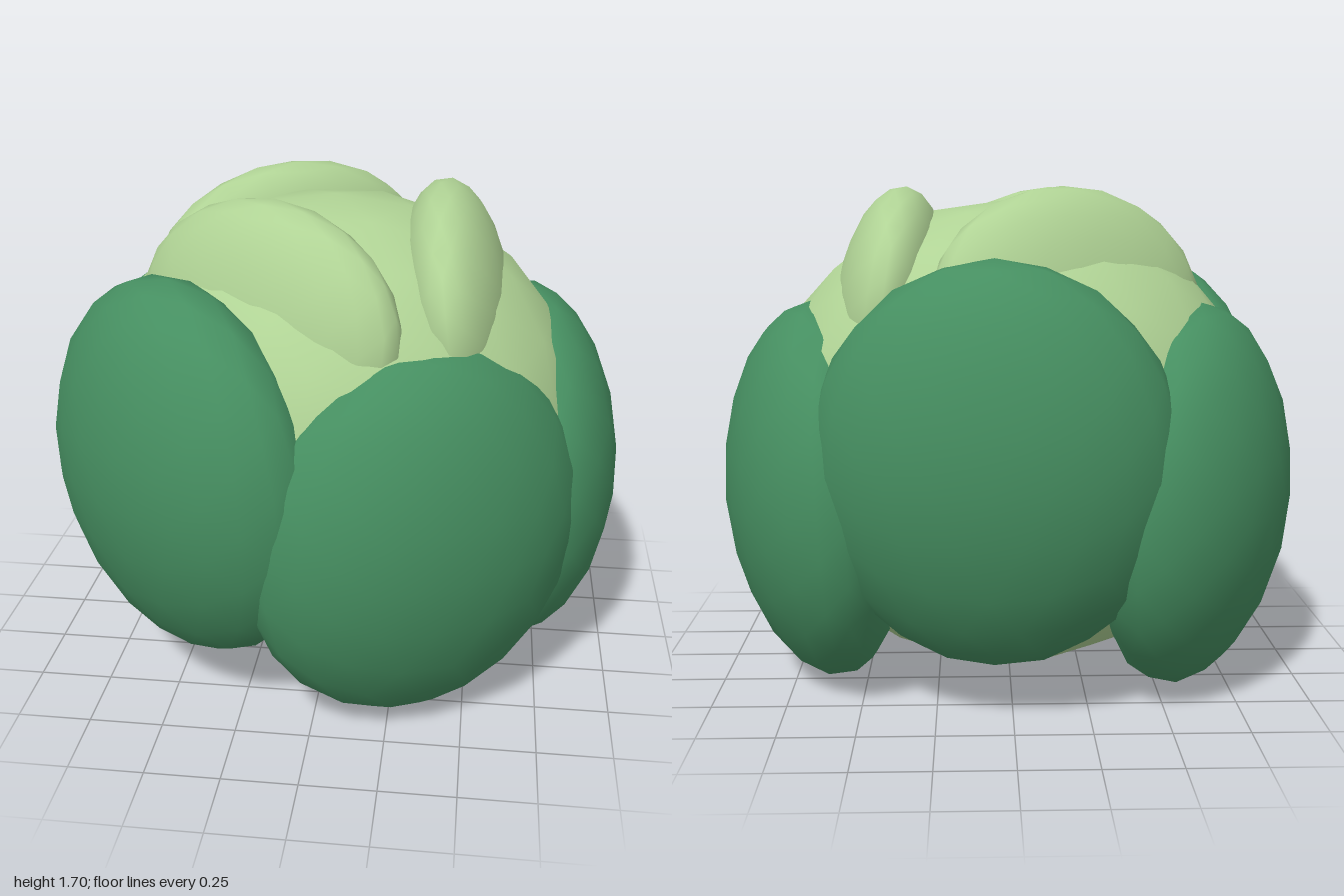
import * as THREE from 'three';
import { mergeVertices } from 'three/addons/utils/BufferGeometryUtils.js';

// Unit ball whose rim is swept back along -x, so that a flattened leaf is cupped
function cuppedBall(cup) {
  const geometry = new THREE.IcosahedronGeometry(1, 3);
  geometry.deleteAttribute('uv');
  geometry.deleteAttribute('normal');
  const smooth = mergeVertices(geometry, 1e-4);
  const p = smooth.attributes.position;
  for (let i = 0; i < p.count; i++) {
    p.setX(i, p.getX(i) - cup * (p.getY(i) ** 2 + p.getZ(i) ** 2));
  }
  smooth.computeVertexNormals();
  return smooth;
}

export function createModel() {
  const model = new THREE.Group();
  model.name = 'cabbage';

  const paleGreen = new THREE.MeshStandardMaterial({ color: 0xb0d395 });
  paleGreen.name = 'paleGreen';
  const darkGreen = new THREE.MeshStandardMaterial({ color: 0x468f61 });
  darkGreen.name = 'darkGreen';

  const ball = cuppedBall(0);
  const leaf = cuppedBall(0.15);

  // Ellipsoid: radii = [thickness, height, width], facing outward at the given
  // angle (degrees from +x towards +z); lean tips its top outward.
  function blob(name, geometry, material, position, radii, angle = 0, lean = 0) {
    const mesh = new THREE.Mesh(geometry, material);
    mesh.name = name;
    mesh.position.set(...position);
    mesh.scale.set(...radii);
    mesh.rotation.order = 'YXZ';
    mesh.rotation.y = -THREE.MathUtils.degToRad(angle);
    mesh.rotation.z = -lean;
    model.add(mesh);
  }

  // Round heart of the head
  blob('core', ball, paleGreen, [0, 0.84, 0], [0.88, 0.82, 0.82]);

  // Three folded leaves on the crown, leaning inward: x, z, width, angle
  const innerLeaves = [
    [0.415, 0, 0.55, 0],
    [-0.19, 0.34, 0.53, 121],
    [-0.2, -0.32, 0.53, 239],
  ];
  innerLeaves.forEach(([x, z, width, angle], i) => {
    blob('innerLeaf' + (i + 1), ball, paleGreen, [x, 1.3, z], [0.19, 0.41, width], angle, -0.15);
  });

  // Five large leaves around the sides, alternating low and high: x, y, z, angle
  const outerLeaves = [
    [0.35, 0.66, 0.54, 58],
    [-0.48, 0.825, 0.48, 131],
    [-0.65, 0.66, -0.26, 203],
    [0.06, 0.825, -0.62, 275],
    [0.69, 0.66, -0.14, 348],
  ];
  outerLeaves.forEach(([x, y, z, angle], i) => {
    blob('outerLeaf' + (i + 1), leaf, darkGreen, [x, y, z], [0.3, 0.66, 0.6], angle, 0.05);
  });

  return model;
}
